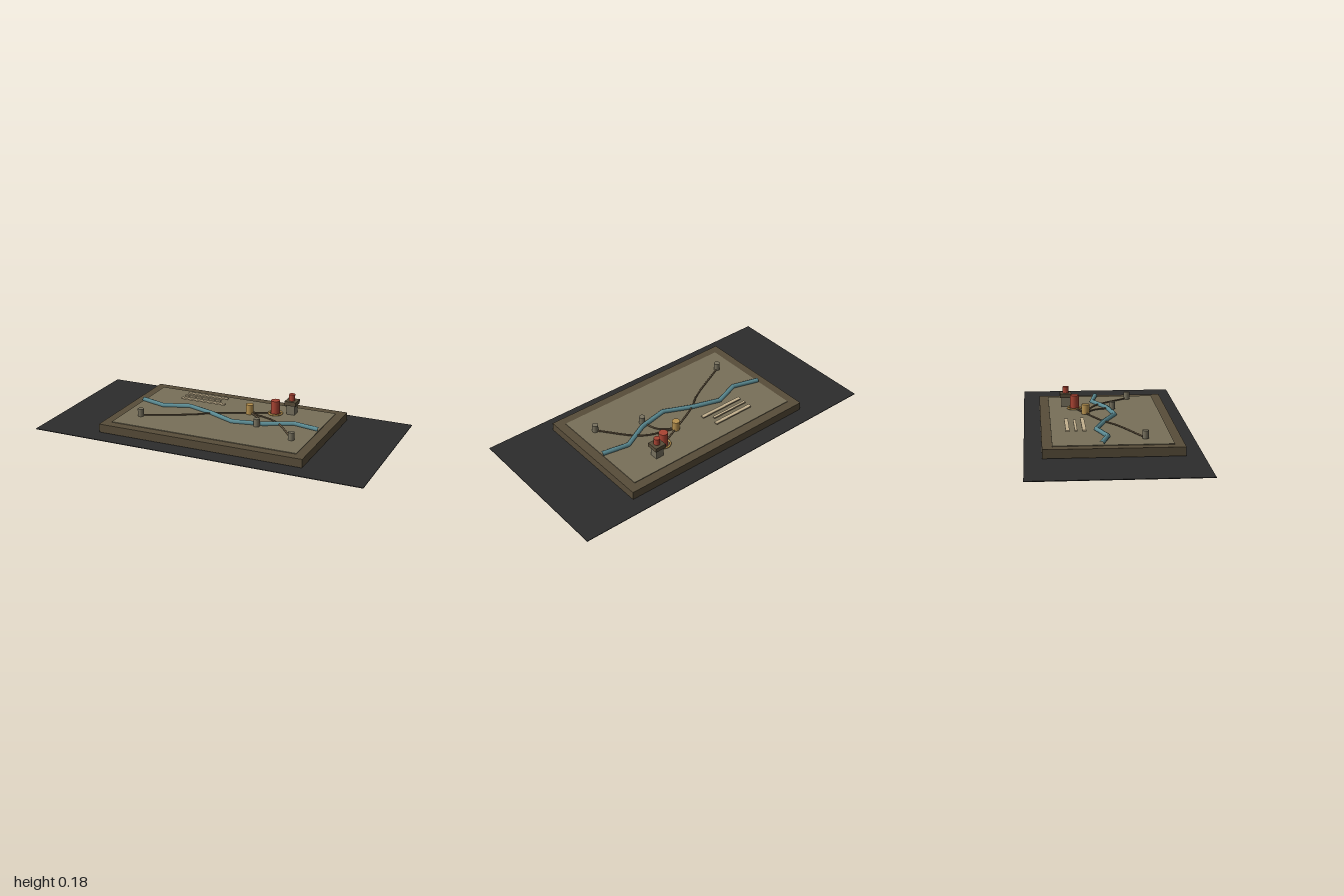
import * as THREE from 'three';

const mat = (name, color) => {
  const m = new THREE.MeshStandardMaterial({ color });
  m.name = name;
  return m;
};

export function createModel() {
  const group = new THREE.Group();
  const charcoal = mat('charcoal', 0x2d2d2d);
  const darkWood = mat('darkWood', 0x584d39);
  const parchment = mat('parchment', 0x787059);
  const water = mat('water', 0x5b8b93);
  const road = mat('road', 0x6a5a44);
  const stone = mat('stone', 0x78725f);
  const brass = mat('brass', 0xb8924f);
  const red = mat('red', 0xaa4433);
  const cream = mat('cream', 0xc3b18e);

  const add = (name, geometry, material, x, y, z) => {
    const mesh = new THREE.Mesh(geometry, material);
    mesh.name = name;
    mesh.position.set(x, y, z);
    group.add(mesh);
    return mesh;
  };
  // box and cylinder standing between heights y0 and y1
  const box = (name, m, x, z, w, d, y0, y1) =>
    add(name, new THREE.BoxGeometry(w, y1 - y0, d), m, x, (y0 + y1) / 2, z);
  const peg = (name, m, x, z, r, y0, y1) =>
    add(name, new THREE.CylinderGeometry(r, r, y1 - y0, 18), m, x, (y0 + y1) / 2, z);
  // tube through [x, z] points; "straight" keeps sharp bends at the points
  const path = (name, m, pts, y, r, straight) => {
    const curve = new THREE.CatmullRomCurve3(pts.map(([x, z]) => new THREE.Vector3(x, y, z)));
    if (straight) {
      curve.getPointAt = (u, t) => curve.getPoint(u, t);
      curve.getTangentAt = (u, t) => curve.getTangent(u, t);
    }
    add(name, new THREE.TubeGeometry(curve, straight ? pts.length - 1 : 24, r, 8), m, 0, 0, 0);
  };

  // ground, table board and map sheet
  box('ground', charcoal, 0, 0, 2, 0.966, 0, 0.004);
  box('board', darkWood, 0, 0, 1.254, 0.77, 0.008, 0.058);
  box('mapSheet', parchment, 0, 0, 1.146, 0.66, 0.054, 0.062);

  // river
  path('river', water, [[-0.573, -0.067], [-0.415, -0.02], [-0.262, -0.074], [-0.09, -0.018],
    [0.07, 0.055], [0.25, 0.02], [0.41, -0.06], [0.573, -0.03]], 0.069, 0.014, true);

  // roads
  path('mainRoad', road, [[-0.46, 0.18], [-0.18, 0.045], [-0.09, -0.02], [0.11, -0.117], [0.25, -0.178]], 0.07, 0.005);
  path('eastRoad', road, [[0.11, -0.117], [0.3, -0.045], [0.48, 0.16]], 0.07, 0.005);
  path('southRoad', road, [[0.11, -0.117], [0.195, -0.05], [0.225, 0.05]], 0.07, 0.005);

  // village markers
  for (const [x, z] of [[-0.46, 0.183], [0.225, 0.053], [0.48, 0.164]]) {
    peg('villageMarker', stone, x, z, 0.018, 0.065, 0.11);
  }
  peg('crossroadsMarker', brass, 0.11, -0.115, 0.023, 0.065, 0.124);

  // main marker with its ring
  peg('capitalMarker', red, 0.25, -0.175, 0.027, 0.065, 0.149);
  add('capitalRing', new THREE.TorusGeometry(0.039, 0.006, 8, 32), brass, 0.25, 0.069, -0.177)
    .rotation.x = Math.PI / 2;

  // watchtower
  box('towerBase', stone, 0.335, -0.226, 0.05, 0.05, 0.062, 0.12);
  box('towerCap', darkWood, 0.335, -0.226, 0.07, 0.07, 0.12, 0.145);
  peg('towerBeacon', red, 0.335, -0.225, 0.018, 0.145, 0.184);

  // legend strips
  for (const [z, w, d] of [[-0.239, 0.267, 0.022], [-0.192, 0.241, 0.015], [-0.146, 0.289, 0.022]]) {
    box('legendStrip', cream, -0.353 + w / 2, z, w, d, 0.08, 0.088);
  }
  return group;
}
